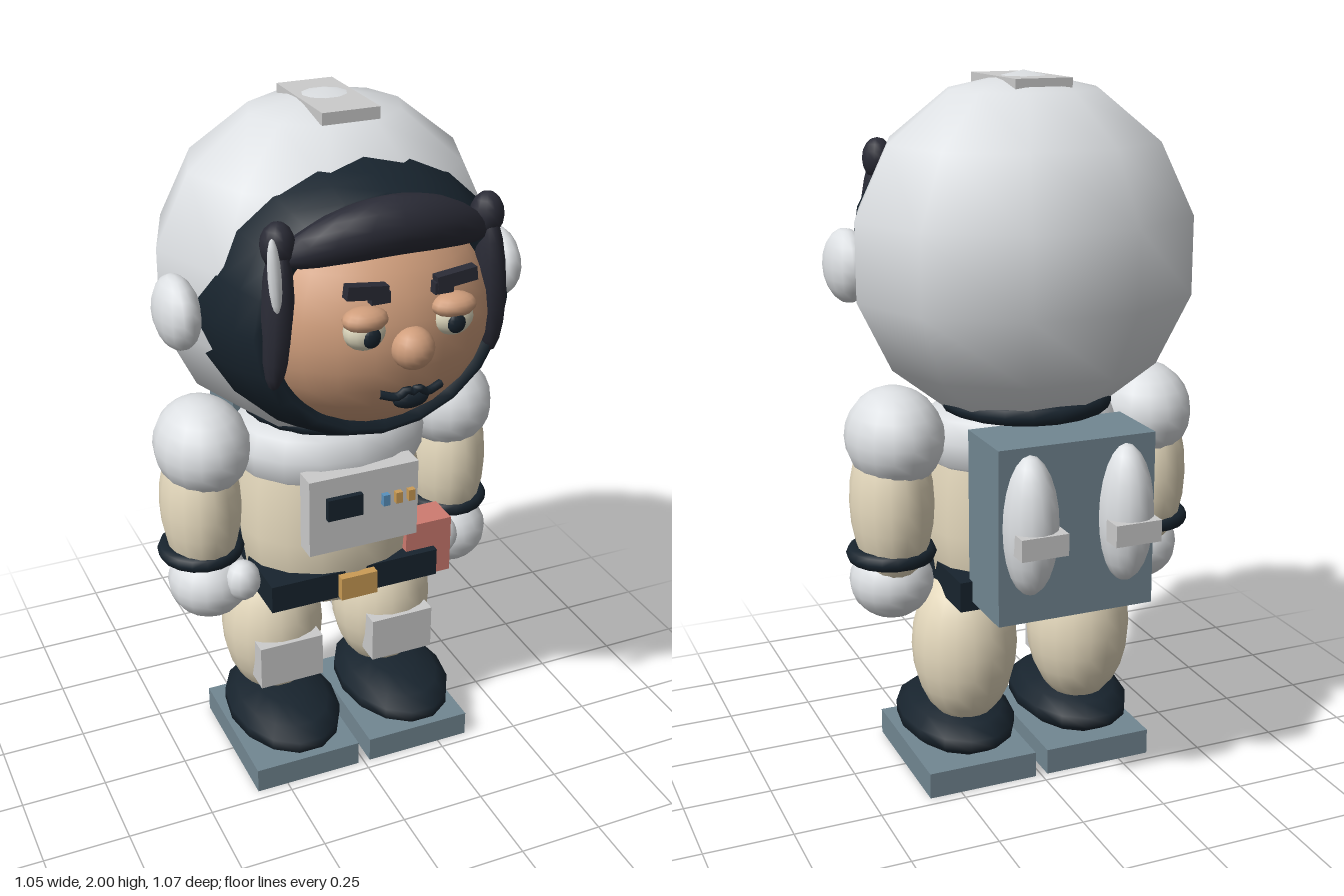
import * as THREE from 'three';

const mat = (color) => new THREE.MeshStandardMaterial({ color });

export function createModel() {
  const root = new THREE.Group();
  const white = mat(0xdde0e3), cream = mat(0xe6dabe), dark = mat(0x18242e), slate = mat(0x728792);
  const red = mat(0xcf7b70), gold = mat(0xcb9c55), blue = mat(0x5a92bd), skin = mat(0xd09e7c);
  const hair = mat(0x2a2b36), panel = mat(0xcccccc), eyeWhite = mat(0xdcd6bc);

  const add = (name, geo, m, p = [0, 0, 0]) => {
    const mesh = new THREE.Mesh(geo, m);
    mesh.name = name;
    mesh.position.set(...p);
    root.add(mesh);
    return mesh;
  };
  const box = (name, m, p, s) => add(name, new THREE.BoxGeometry(...s), m, p);
  const ball = (name, m, p, r, w = 16, h = 12) => {
    const mesh = add(name, new THREE.SphereGeometry(1, w, h), m, p);
    mesh.scale.set(...r);
    return mesh;
  };
  const lathe = (pts, n) => new THREE.LatheGeometry(pts.map(([x, y]) => new THREE.Vector2(x, y)), n);
  const tube = (name, m, pts, r) => add(name, new THREE.TubeGeometry(
    new THREE.CatmullRomCurve3(pts.map((p) => new THREE.Vector3(...p))), 16, r, 6), m);

  // Helmet, with a dark rim around the face opening
  ball('helmet', white, [0, 1.52, -0.075], [0.488, 0.48, 0.435], 10, 7);
  box('helmetTopPlate', panel, [0, 1.97, -0.055], [0.16, 0.032, 0.31]);
  const rimMat = dark.clone();
  rimMat.side = THREE.DoubleSide;
  const rimGeo = lathe([[0.425, 0.08], [0.41, 0.17], [0.385, 0.25], [0.355, 0.31], [0.325, 0.335], [0.29, 0.3], [0.27, 0.22]], 20);
  rimGeo.rotateX(Math.PI / 2);
  add('faceRim', rimGeo, rimMat, [0, 1.505, 0]).scale.y = 0.935;
  ball('helmetAntenna', white, [-0.313, 1.68, 0.355], [0.018, 0.1, 0.016], 10, 8).rotation.z = 0.06;

  // Face
  ball('face', skin, [0, 1.49, 0.14], [0.36, 0.32, 0.335], 24, 16);
  ball('nose', skin, [0, 1.49, 0.475], [0.056, 0.055, 0.055]);
  tube('upperLip', dark, [[-0.085, 1.375, 0.468], [-0.04, 1.365, 0.478], [-0.015, 1.382, 0.482],
    [0, 1.374, 0.482], [0.015, 1.382, 0.482], [0.04, 1.365, 0.478], [0.085, 1.375, 0.468]], 0.011);
  ball('lowerLip', dark, [0, 1.35, 0.473], [0.05, 0.025, 0.017], 10, 8);

  // Fringe curving around the forehead
  const fringe = new THREE.SphereGeometry(1, 20, 12).scale(0.29, 0.075, 0.072);
  const fp = fringe.attributes.position;
  for (let i = 0; i < fp.count; i++) {
    const k = (fp.getX(i) / 0.29) ** 2;
    fp.setY(i, fp.getY(i) - 0.07 * k);
    fp.setZ(i, fp.getZ(i) - 0.055 * k);
  }
  fringe.computeVertexNormals();
  add('hairFringe', fringe, hair, [0, 1.77, 0.36]);

  // Torso with a white yoke
  const torso = (name, m, pts) => {
    add(name, lathe(pts, 16), m, [0, 0, -0.055]).scale.z = 0.79;
  };
  torso('torso', cream, [[0, 0.48], [0.12, 0.485], [0.21, 0.53], [0.26, 0.62], [0.275, 0.75], [0.27, 0.9], [0.25, 1.0]]);
  torso('yoke', white, [[0.24, 0.93], [0.28, 0.955], [0.285, 1.02], [0.265, 1.08], [0.22, 1.105], [0, 1.11]]);
  add('neckRing', new THREE.TorusGeometry(0.215, 0.027, 8, 20).rotateX(Math.PI / 2), dark, [0, 1.115, -0.09]);

  // Chest panel
  box('chestPanel', panel, [0, 0.882, 0.167], [0.33, 0.235, 0.066]);
  box('panelScreen', dark, [-0.063, 0.908, 0.207], [0.105, 0.066, 0.02]);
  [blue, gold, gold].forEach((m, i) => box('panelButton', m, [0.062 + i * 0.039, 0.903, 0.207], [0.02, 0.034, 0.02]));

  // Belt, buckle and pouch
  box('belt', dark, [0, 0.612, -0.052], [0.52, 0.085, 0.4]);
  box('buckle', gold, [0, 0.611, 0.16], [0.112, 0.072, 0.03]);
  box('beltPouch', red, [0.243, 0.65, 0.075], [0.145, 0.18, 0.1]);

  // Backpack
  box('backpack', slate, [0, 0.838, -0.335], [0.45, 0.485, 0.21]);

  // Mirrored parts
  for (const s of [1, -1]) {
    const side = s > 0 ? 'left' : 'right';
    ball(side + 'Earpiece', white, [s * 0.465, 1.493, 0.04], [0.06, 0.1, 0.11], 14, 10);
    const lock = ball(side + 'HairLock', hair, [s * 0.295, 1.56, 0.315], [0.042, 0.2, 0.052], 12, 10);
    lock.rotation.z = s * 0.06;
    ball(side + 'HairTuft', hair, [s * 0.285, 1.74, 0.305], [0.045, 0.06, 0.045], 12, 8);

    // Eye, lids and brow
    ball(side + 'Eye', eyeWhite, [s * 0.12, 1.545, 0.45], [0.055, 0.048, 0.042], 14, 10);
    ball(side + 'Pupil', dark, [s * 0.115, 1.54, 0.484], [0.025, 0.027, 0.013], 12, 8);
    ball(side + 'UpperLid', skin, [s * 0.12, 1.578, 0.455], [0.06, 0.032, 0.044], 14, 10);
    const brow = box(side + 'Eyebrow', hair, [s * 0.12, 1.652, 0.458], [0.108, 0.035, 0.03]);
    brow.rotation.z = s * 0.12;
    box(side + 'BrowEnd', hair, [s * 0.085, 1.633, 0.458], [0.05, 0.03, 0.026]);

    // Arm
    ball(side + 'Shoulder', white, [s * 0.378, 1.035, -0.07], [0.135, 0.14, 0.162]);
    ball(side + 'Arm', cream, [s * 0.39, 0.85, -0.07], [0.115, 0.24, 0.137]);
    add(side + 'Cuff', new THREE.TorusGeometry(0.102, 0.024, 8, 18).rotateX(Math.PI / 2), dark, [s * 0.394, 0.705, -0.07]);
    ball(side + 'Hand', white, [s * 0.385, 0.61, -0.038], [0.118, 0.108, 0.122]);
    ball(side + 'Thumb', white, [s * 0.315, 0.645, 0.06], [0.052, 0.062, 0.05], 12, 8);

    // Leg and boot
    ball(side + 'Leg', cream, [s * 0.18, 0.395, -0.07], [0.152, 0.24, 0.152], 18, 12);
    box(side + 'KneePad', panel, [s * 0.18, 0.34, 0.055], [0.196, 0.138, 0.075]);
    ball(side + 'Boot', dark, [s * 0.183, 0.138, 0.008], [0.167, 0.075, 0.245], 14, 7);
    box(side + 'Sole', slate, [s * 0.181, 0.038, 0], [0.325, 0.076, 0.436]);

    // Backpack tank and strap
    ball(side + 'Tank', white, [s * 0.138, 0.868, -0.44], [0.076, 0.192, 0.09]);
    box(side + 'TankStrap', panel, [s * 0.134, 0.838, -0.505], [0.132, 0.06, 0.06]);
  }
  return root;
}
